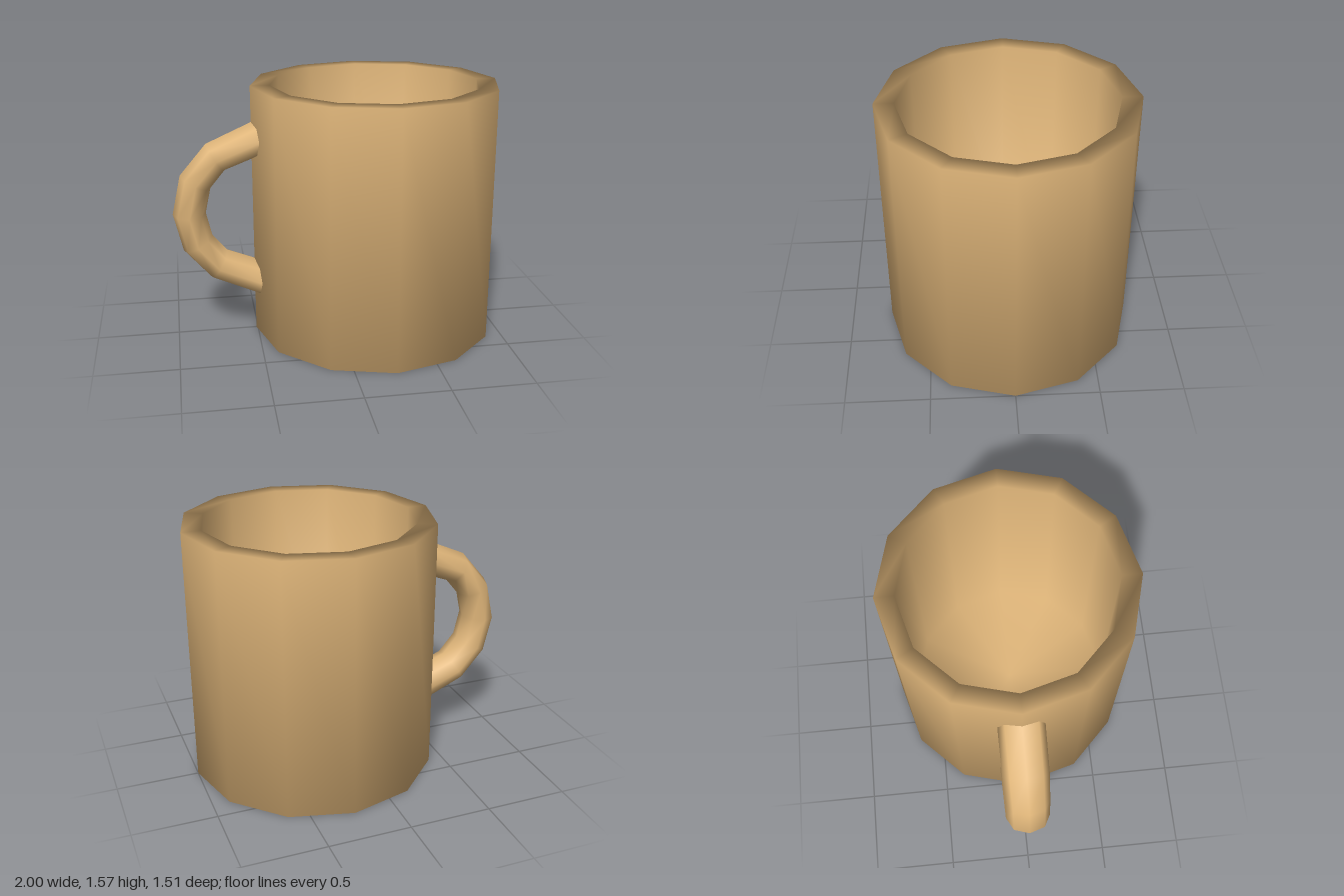
import * as THREE from 'three';

const SIDES = 12, CENTRE_X = 0.245, OUTER = 0.755, INNER = 0.637, HEIGHT = 1.565, FLOOR = 0.12;

// Sweeps an octagonal section along a path in the xy plane, mitred at each point.
// Path entries are [x, y, half thickness in plane, half width in z].
function sweep(path, sides) {
  const positions = [], index = [];
  const points = path.map(([x, y]) => new THREE.Vector2(x, y));
  path.forEach(([x, y, thick, wide], i) => {
    const before = points[Math.max(i - 1, 0)];
    const after = points[Math.min(i + 1, points.length - 1)];
    const t = after.clone().sub(before).normalize();
    for (let j = 0; j < sides; j++) {
      const a = (j / sides) * Math.PI * 2;
      const r = Math.cos(a) * thick;
      positions.push(x + t.y * r, y - t.x * r, Math.sin(a) * wide);
      if (i < path.length - 1) {
        const p = i * sides + j, q = i * sides + (j + 1) % sides;
        index.push(p, p + sides, q, q, p + sides, q + sides);
      }
    }
  });
  const geometry = new THREE.BufferGeometry();
  geometry.setAttribute('position', new THREE.Float32BufferAttribute(positions, 3));
  geometry.setIndex(index);
  geometry.computeVertexNormals();
  return geometry;
}

export function createModel() {
  const group = new THREE.Group();
  group.name = 'mug';
  const material = new THREE.MeshStandardMaterial({ color: 0xe0b67a });

  // Hollow twelve-sided cup, shaded smoothly over rim and base
  const profile = [
    [0, 0], [OUTER, 0], [OUTER, HEIGHT], [INNER, HEIGHT], [INNER, FLOOR], [0, FLOOR],
  ].map(([r, y]) => new THREE.Vector2(r, y));
  const cup = new THREE.Mesh(new THREE.LatheGeometry(profile, SIDES), material);
  cup.name = 'cup';
  cup.position.x = CENTRE_X;
  group.add(cup);

  // C-shaped handle whose ends sink into the wall
  const handle = new THREE.Mesh(sweep([
    [-0.43, 1.265, 0.107, 0.137],
    [-0.73, 1.14, 0.1, 0.135],
    [-0.856, 0.99, 0.1, 0.13],
    [-0.9, 0.79, 0.1, 0.13],
    [-0.855, 0.6, 0.1, 0.13],
    [-0.73, 0.455, 0.1, 0.13],
    [-0.43, 0.33, 0.107, 0.132],
  ], 8), material);
  handle.name = 'handle';
  group.add(handle);

  return group;
}
